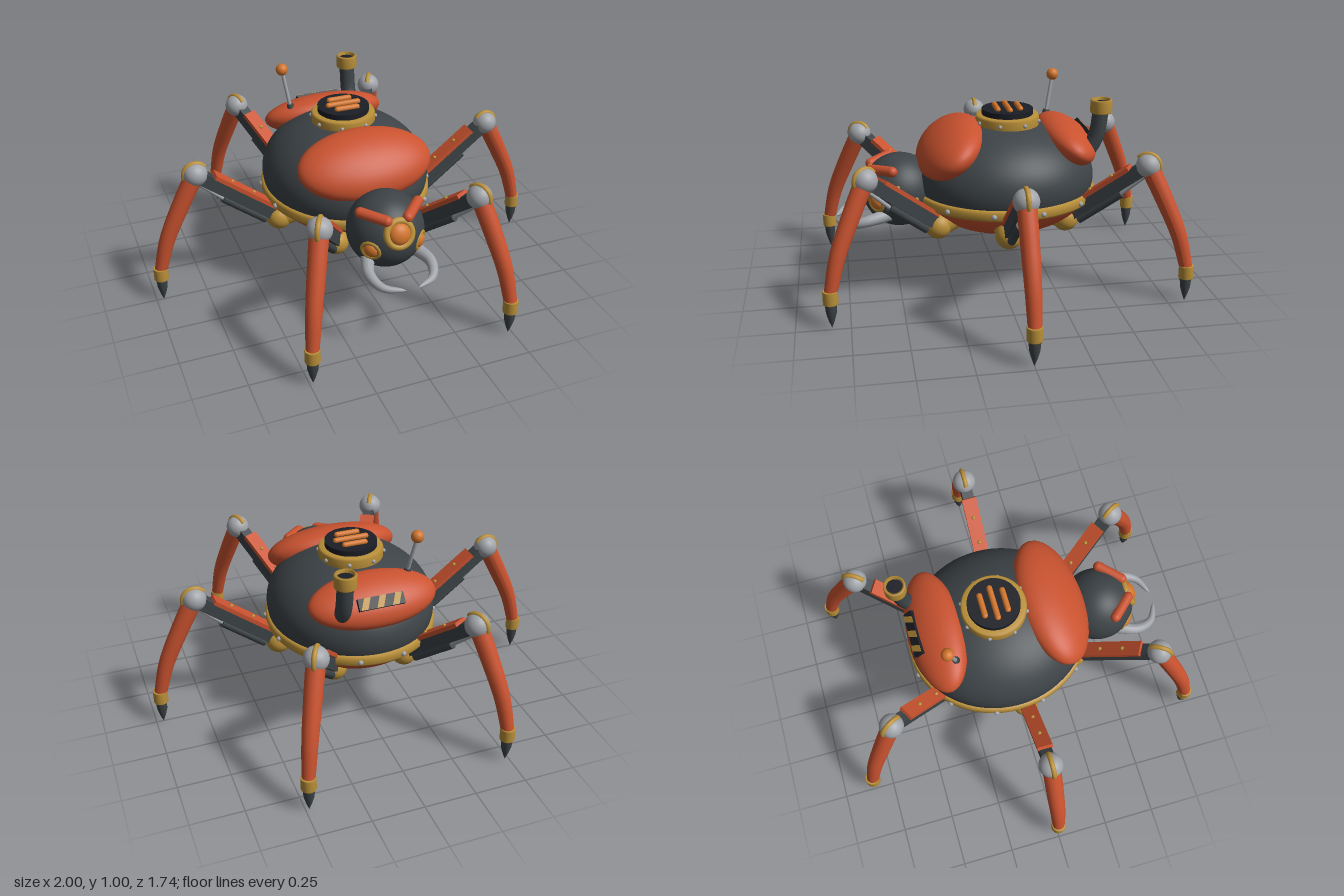
import * as THREE from 'three';

const mat = (name, color, side = THREE.FrontSide) => {
  const m = new THREE.MeshStandardMaterial({ color, side });
  m.name = name;
  return m;
};
const V = (x, y, z) => new THREE.Vector3(x, y, z);

export function createModel() {
  const red = mat('red paint', 0xc9522f), dark = mat('dark metal', 0x3d4347), gold = mat('brass', 0xb98f38);
  const steel = mat('steel', 0xa0a3a8), orange = mat('orange glow', 0xd2752b), black = mat('black', 0x1c1e26);
  const model = new THREE.Group();

  const add = (parent, name, geo, material, x = 0, y = 0, z = 0) => {
    const m = new THREE.Mesh(geo, material);
    m.name = name;
    m.position.set(x, y, z);
    parent.add(m);
    return m;
  };
  const group = (parent, name, x = 0, y = 0, z = 0) => {
    const g = new THREE.Group();
    g.name = name;
    g.position.set(x, y, z);
    parent.add(g);
    return g;
  };
  const ball = (r, n = 32) => new THREE.SphereGeometry(r, n, Math.max(8, n * 0.6 | 0));
  const lathe = (pts) => new THREE.LatheGeometry(pts.map(([r, y]) => new THREE.Vector2(r, y)), 64);
  // Straight bar between two points
  const rod = (parent, name, a, b, r, material, r2 = r) => {
    const m = add(parent, name, new THREE.CylinderGeometry(r2, r, a.distanceTo(b), 20), material);
    m.position.copy(a).add(b).multiplyScalar(0.5);
    m.quaternion.setFromUnitVectors(V(0, 1, 0), b.clone().sub(a).normalize());
    return m;
  };
  // Tube whose radius follows a rule along its length
  const taperTube = (points, radius, n = 20, sides = 20) => {
    const path = new THREE.CatmullRomCurve3(points);
    const geo = new THREE.TubeGeometry(path, n, 1, sides);
    const pos = geo.attributes.position, p = V(0, 0, 0);
    for (let i = 0; i <= n; i++) {
      const c = path.getPointAt(i / n);
      for (let j = 0; j <= sides; j++) {
        const k = i * (sides + 1) + j;
        p.fromBufferAttribute(pos, k).sub(c).multiplyScalar(radius(i / n)).add(c);
        pos.setXYZ(k, p.x, p.y, p.z);
      }
    }
    geo.computeVertexNormals();
    return geo;
  };

  // Hull, an ellipsoid with a painted lower shell and a riveted belt
  const body = group(model, 'body', 0, 0, -0.04);
  const oval = group(body, 'hullOval');
  oval.scale.z = 1.09;
  add(oval, 'hull', ball(1, 64), dark, 0, 0.53, 0).scale.set(0.405, 0.28, 0.405);
  const shell = [[0.24, 0.315]];
  for (let i = 0; i <= 8; i++) {
    const y = 0.31 + 0.015 * i;
    shell.push([0.417 * Math.sqrt(1 - ((y - 0.53) / 0.28) ** 2), y]);
  }
  add(oval, 'lowerShell', lathe(shell), red);
  add(oval, 'belt', lathe([[0.38, 0.425], [0.404, 0.428], [0.413, 0.44], [0.413, 0.468], [0.404, 0.48], [0.38, 0.483]]), gold);
  for (let i = 0; i < 12; i++) {
    const a = (i + 0.5) * Math.PI / 6;
    add(body, 'beltRivet', ball(0.013, 12), steel, 0.413 * Math.cos(a), 0.454, 0.45 * Math.sin(a));
  }

  // Armour pads
  const pad = (name, y, z, rx, ry, rz, tilt) => {
    const m = add(model, name, ball(1, 48), red, 0, y, z);
    m.scale.set(rx, ry, rz);
    m.rotation.x = tilt;
  };
  pad('frontPad', 0.685, 0.23, 0.33, 0.111, 0.186, 0.61);
  pad('rearPad', 0.70, -0.345, 0.31, 0.095, 0.146, -0.52);

  // Top hatch with vent bars
  const hatch = group(model, 'hatch', 0, 0, -0.055);
  add(hatch, 'hatchRing', lathe([[0.15, 0.77], [0.155, 0.785], [0.155, 0.828], [0.148, 0.838], [0.12, 0.838]]), gold);
  add(hatch, 'hatchVent', new THREE.CylinderGeometry(0.125, 0.125, 0.04, 48), black, 0, 0.845, 0);
  for (let i = -1; i <= 1; i++) {
    const bar = add(hatch, 'ventBar', new THREE.CapsuleGeometry(0.014, i ? 0.1 : 0.15, 6, 16), orange, 0, 0.87, i * 0.055);
    bar.rotation.z = Math.PI / 2;
  }
  for (let i = 0; i < 8; i++) {
    const a = (i + 0.5) * Math.PI / 4;
    add(hatch, 'hatchRivet', ball(0.01, 12), steel, 0.156 * Math.cos(a), 0.808, 0.156 * Math.sin(a));
  }

  // Striped warning plate on the rear pad
  const plate = group(model, 'warningPlate', 0, 0.742, -0.445);
  plate.rotation.x = -0.83;
  add(plate, 'plateBase', new THREE.BoxGeometry(0.22, 0.02, 0.055), black);
  for (const x of [-0.075, 0, 0.075]) {
    const s = new THREE.Shape([[-0.028, -0.027], [0.004, -0.027], [0.028, 0.027], [-0.004, 0.027]].map(([a, b]) => new THREE.Vector2(a, b)));
    const stripe = add(plate, 'plateStripe', new THREE.ExtrudeGeometry(s, { depth: 0.003, bevelEnabled: false }), gold, x, 0.009, 0);
    stripe.rotation.x = -Math.PI / 2;
  }

  // Exhaust pipe
  add(model, 'exhaustPipe', taperTube([V(0.175, 0.66, -0.4), V(0.18, 0.75, -0.452), V(0.18, 0.89, -0.475)], () => 0.038), dark);
  add(model, 'exhaustCap', lathe([[0.03, 0.87], [0.048, 0.87], [0.052, 0.875], [0.052, 0.93], [0.048, 0.935], [0.038, 0.935], [0.038, 0.9]]), gold, 0.18, 0, -0.475);
  add(model, 'exhaustHole', new THREE.CylinderGeometry(0.04, 0.04, 0.01, 24), black, 0.18, 0.915, -0.475);

  // Antenna
  rod(model, 'antennaBase', V(-0.187, 0.745, -0.283), V(-0.194, 0.795, -0.293), 0.022, dark, 0.016);
  rod(model, 'antennaRod', V(-0.19, 0.76, -0.287), V(-0.22, 0.97, -0.327), 0.009, steel);
  add(model, 'antennaTip', ball(0.03, 24), orange, -0.22, 0.972, -0.327);

  // Head with three ringed eyes
  const head = group(model, 'head', 0, 0.48, 0.48);
  add(head, 'skull', ball(0.18, 48), dark);
  const eye = (name, dir, r) => {
    dir.normalize();
    const g = group(head, name);
    g.position.copy(dir).multiplyScalar(0.168);
    g.quaternion.setFromUnitVectors(V(0, 0, 1), dir);
    add(g, 'eyeRing', new THREE.TorusGeometry(r, r * 0.27, 14, 40), gold);
    add(g, 'eyeLens', ball(r * 0.88, 28), orange).scale.z = 0.65;
  };
  eye('mainEye', V(0, 0.062, 0.165), 0.06);
  for (const s of [1, -1]) {
    eye('sideEye', V(s * 0.125, -0.025, 0.125), 0.041);
    // Brow plates and curved jaws
    const a = V(s * 0.15, 0.135, 0.03), b = V(s * 0.04, 0.12, 0.145);
    const brow = add(head, 'brow', new THREE.CapsuleGeometry(0.025, a.distanceTo(b) - 0.03, 6, 16), red);
    brow.position.copy(a).add(b).multiplyScalar(0.5);
    brow.quaternion.setFromUnitVectors(V(0, 1, 0), b.clone().sub(a).normalize());
    add(model, 'jaw', taperTube(
      [V(s * 0.11, 0.39, 0.54), V(s * 0.15, 0.372, 0.66), V(s * 0.12, 0.35, 0.745), V(s * 0.03, 0.345, 0.793)],
      (t) => 0.001 + 0.032 * Math.sqrt(1 - t)), steel);
  }

  // Six legs, each built along +x and turned into place
  const lowerLeg = taperTube([V(0.757, 0.665, 0), V(0.835, 0.515, 0), V(0.918, 0.335, 0), V(0.965, 0.165, 0)],
    (t) => 0.044 + 0.012 * t * (1 - t) - 0.014 * t);
  const claw = lathe([[0, 0], [0.013, 0.035], [0.024, 0.075], [0.028, 0.125]]);
  const cuff = lathe([[0, 0.12], [0.033, 0.12], [0.035, 0.124], [0.035, 0.182], [0.033, 0.186], [0, 0.186]]);
  for (let i = 0; i < 6; i++) {
    const leg = group(model, 'leg');
    leg.rotation.y = i * Math.PI / 3;
    add(leg, 'hipBall', ball(0.064), gold, 0.36, 0.345, 0);
    rod(leg, 'hipSocket', V(0.25, 0.39, 0), V(0.345, 0.35, 0), 0.075, gold, 0.058);

    const thigh = group(leg, 'upperLeg', 0.558, 0.505, 0);
    thigh.rotation.z = 0.663;
    add(thigh, 'thighBeam', new THREE.BoxGeometry(0.44, 0.062, 0.058), dark);
    add(thigh, 'thighPlate', new THREE.BoxGeometry(0.37, 0.02, 0.074), red, -0.015, 0.038, 0);
    for (const x of [-0.06, 0.07]) add(thigh, 'thighRivet', ball(0.01, 12), gold, x, 0.048, 0);
    rod(thigh, 'pistonSleeve', V(-0.2, -0.048, 0), V(0.06, -0.048, 0), 0.02, dark);
    rod(thigh, 'pistonRod', V(0.05, -0.048, 0), V(0.22, -0.035, 0), 0.01, steel);

    add(leg, 'knee', ball(0.058), steel, 0.757, 0.66, 0);
    const guard = add(leg, 'kneeGuard', new THREE.TorusGeometry(0.055, 0.012, 12, 32, Math.PI), gold, 0.757, 0.66, 0);
    guard.rotation.z = -0.6;
    add(leg, 'lowerLeg', lowerLeg, red);
    add(leg, 'ankleCuff', cuff, gold, 0.965, 0, 0);
    add(leg, 'claw', claw, dark, 0.965, 0, 0);
  }
  return model;
}
